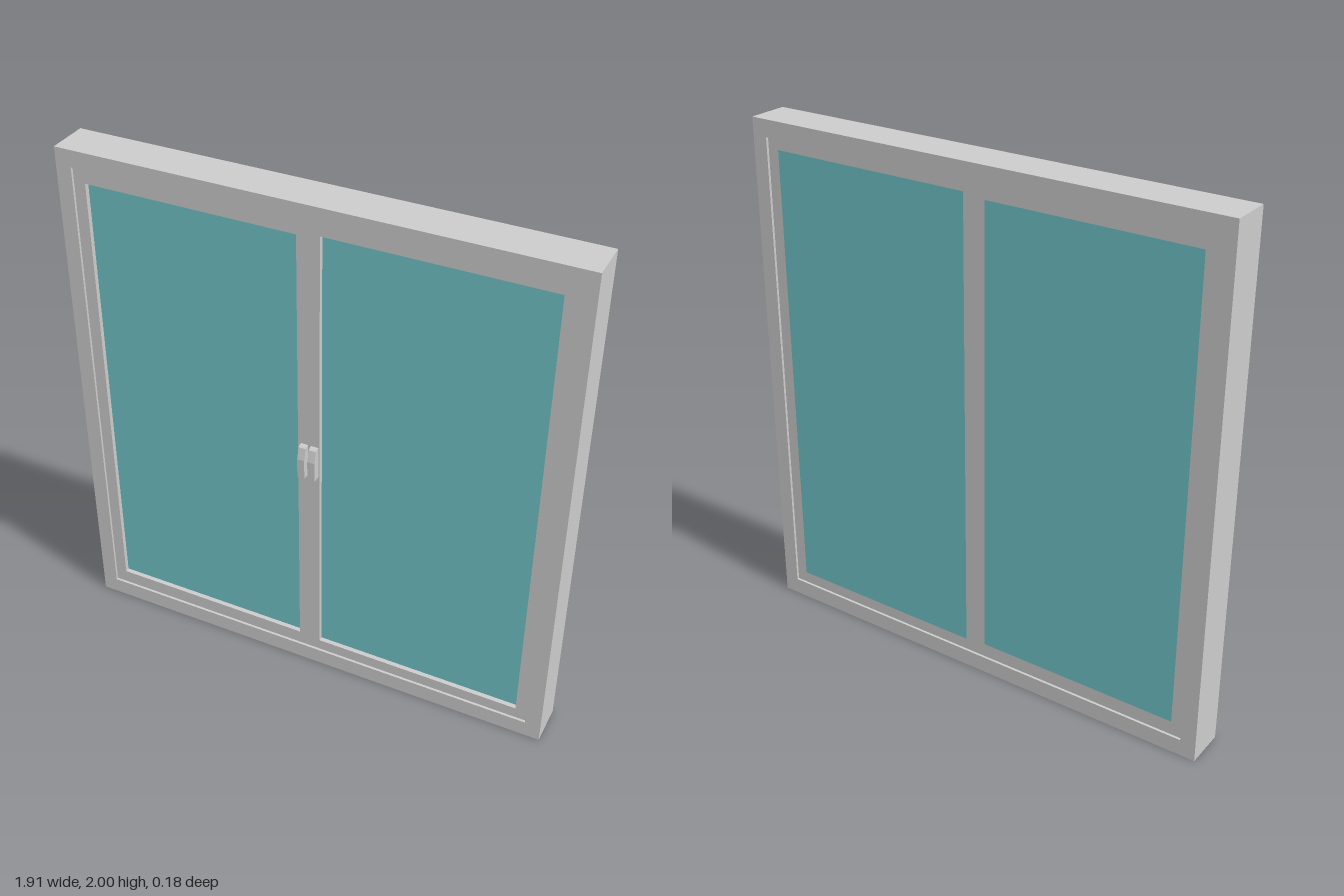
import * as THREE from 'three';

const grey = new THREE.MeshStandardMaterial({ color: 0xcccccc });
const teal = new THREE.MeshStandardMaterial({ color: 0x70c4c8 });

// Rectangles are [x0, y0, x1, y1]
function rectPath(PathType, [x0, y0, x1, y1]) {
  return new PathType([[x0, y0], [x1, y0], [x1, y1], [x0, y1]].map(p => new THREE.Vector2(...p)));
}

// Rectangular ring between two depths
function ring(name, outer, inner, zBack, zFront) {
  const shape = rectPath(THREE.Shape, outer);
  shape.holes.push(rectPath(THREE.Path, inner));
  const geo = new THREE.ExtrudeGeometry(shape, { depth: zFront - zBack, bevelEnabled: false });
  geo.translate(0, 0, zBack);
  const mesh = new THREE.Mesh(geo, grey);
  mesh.name = name;
  return mesh;
}

// Solid panel filling a rectangle between two depths
function panel(name, [x0, y0, x1, y1], zBack, zFront) {
  const mesh = new THREE.Mesh(new THREE.BoxGeometry(x1 - x0, y1 - y0, zFront - zBack), teal);
  mesh.position.set((x0 + x1) / 2, (y0 + y1) / 2, (zBack + zFront) / 2);
  mesh.name = name;
  return mesh;
}

// Pull handle: side profile in (z, y), extruded across x
function handle(name, x, width) {
  const profile = [[0.055, 0.92], [0.092, 0.92], [0.092, 1.0], [0.08, 1.045], [0.072, 1.05], [0.055, 1.05]];
  const shape = new THREE.Shape(profile.map(([z, y]) => new THREE.Vector2(-z, y)));
  const geo = new THREE.ExtrudeGeometry(shape, { depth: width, bevelEnabled: false });
  geo.rotateY(Math.PI / 2).translate(x - width / 2, 0, 0);
  const mesh = new THREE.Mesh(geo, grey);
  mesh.name = name;
  return mesh;
}

export function createModel() {
  const model = new THREE.Group();
  model.name = 'slidingWindow';

  // Outer frame
  model.add(ring('outerFrame', [-0.955, 0, 0.955, 2], [-0.895, 0.065, 0.895, 1.935], -0.09, 0.07));

  // Two sashes, each with its glass and handle
  const sashes = [
    { side: 'right', outer: [-0.895, 0.065, 0, 1.935], opening: [-0.85, 0.12, -0.047, 1.88], handleX: -0.021 },
    { side: 'left', outer: [0, 0.065, 0.895, 1.935], opening: [0.038, 0.11, 0.85, 1.893], handleX: 0.019 },
  ];
  for (const { side, outer, opening, handleX } of sashes) {
    const sash = new THREE.Group();
    sash.name = side + 'Sash';
    sash.add(
      ring(side + 'SashFrame', outer, opening, -0.08, 0.06),
      panel(side + 'Glass', opening, -0.08, 0.042),
      handle(side + 'Handle', handleX, 0.028),
    );
    model.add(sash);
  }
  return model;
}
